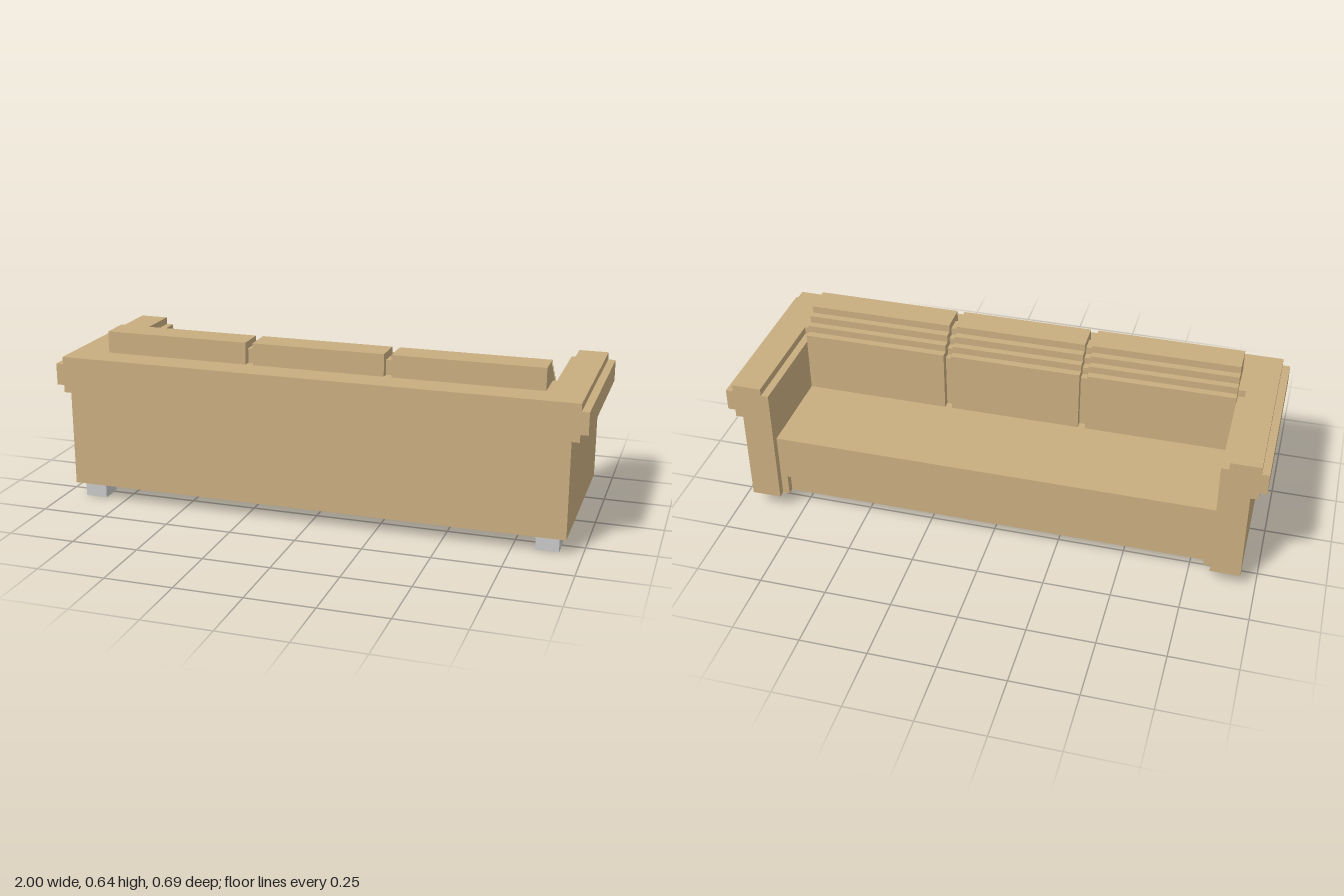
import * as THREE from 'three';

export function createModel() {
  const fabric = new THREE.MeshStandardMaterial({ color: 0xc8ad7f });
  fabric.name = 'tan fabric';
  const metal = new THREE.MeshStandardMaterial({ color: 0xc8c8c8 });
  metal.name = 'light grey';

  const sofa = new THREE.Group();
  sofa.name = 'sofa';

  function add(name, geometry, material = fabric) {
    const mesh = new THREE.Mesh(geometry, material);
    mesh.name = name;
    sofa.add(mesh);
    return mesh;
  }
  // Box given by its extents on each axis
  function block(name, [x0, x1], [y0, y1], [z0, z1], material) {
    const mesh = add(name, new THREE.BoxGeometry(x1 - x0, y1 - y0, z1 - z0), material);
    mesh.position.set((x0 + x1) / 2, (y0 + y1) / 2, (z0 + z1) / 2);
  }
  function extrude(points, depth) {
    const shape = new THREE.Shape(points.map(([a, b]) => new THREE.Vector2(a, b)));
    return new THREE.ExtrudeGeometry(shape, { depth, bevelEnabled: false }).translate(0, 0, -depth / 2);
  }

  const inner = 0.833, bottom = 0.06, seatTop = 0.32, half = 0.347;

  // Stepped arms, feet and small posts beside the seat
  const armProfile = [
    [inner, bottom], [0.944, bottom], [0.944, 0.42], [0.972, 0.42], [0.972, 0.448], [1, 0.448],
    [1, 0.53], [0.972, 0.53], [0.972, 0.558], [0.861, 0.558], [0.861, 0.53], [inner, 0.53],
  ];
  for (const s of [1, -1]) {
    const side = s > 0 ? 'left' : 'right';
    const span = (a, b) => [Math.min(s * a, s * b), Math.max(s * a, s * b)];
    add(side + 'Arm', extrude(armProfile.map(([x, y]) => [s * x, y]), 2 * half));
    block(side + 'TallFoot', span(0.833, 0.917), [0, bottom], [0.236, 0.319], metal);
    block(side + 'ShortFoot', span(0.833, 0.917), [0.032, bottom], [-0.292, -0.208], metal);
    block(side + 'SeatPost', span(0.806, inner), [bottom, 0.143], [-0.319, -0.25]);
  }

  // Base, overhanging seat and backrest frame
  block('base', [-inner, inner], [bottom, 0.143], [-0.292, 0.07]);
  block('seat', [-inner, inner], [0.143, seatTop], [-0.319, 0.07]);
  block('backrest', [-inner, inner], [bottom, 0.53], [0.07, half]);
  block('backrestTop', [-0.861, 0.861], [0.53, 0.558], [0.097, half]);

  // Stepped back cushions
  const cushionProfile = [
    [0.042, seatTop], [0.236, seatTop], [0.236, 0.641], [0.125, 0.641], [0.125, 0.613], [0.097, 0.613],
    [0.097, 0.585], [0.07, 0.585], [0.07, 0.558], [0.042, 0.558],
  ];
  for (const [x0, x1] of [[-inner, -0.278], [-0.25, 0.25], [0.278, inner]]) {
    const cushion = add('backCushion', extrude(cushionProfile, x1 - x0).rotateY(-Math.PI / 2));
    cushion.position.x = (x0 + x1) / 2;
  }

  // Recessed fillers between the cushions
  for (const x of [-0.264, 0.264]) {
    const gap = [x - 0.014, x + 0.014];
    block('cushionGapUpper', gap, [0.585, 0.613], [0.153, 0.208]);
    block('cushionGapLower', gap, [0.55, 0.585], [0.125, 0.208]);
  }
  return sofa;
}
